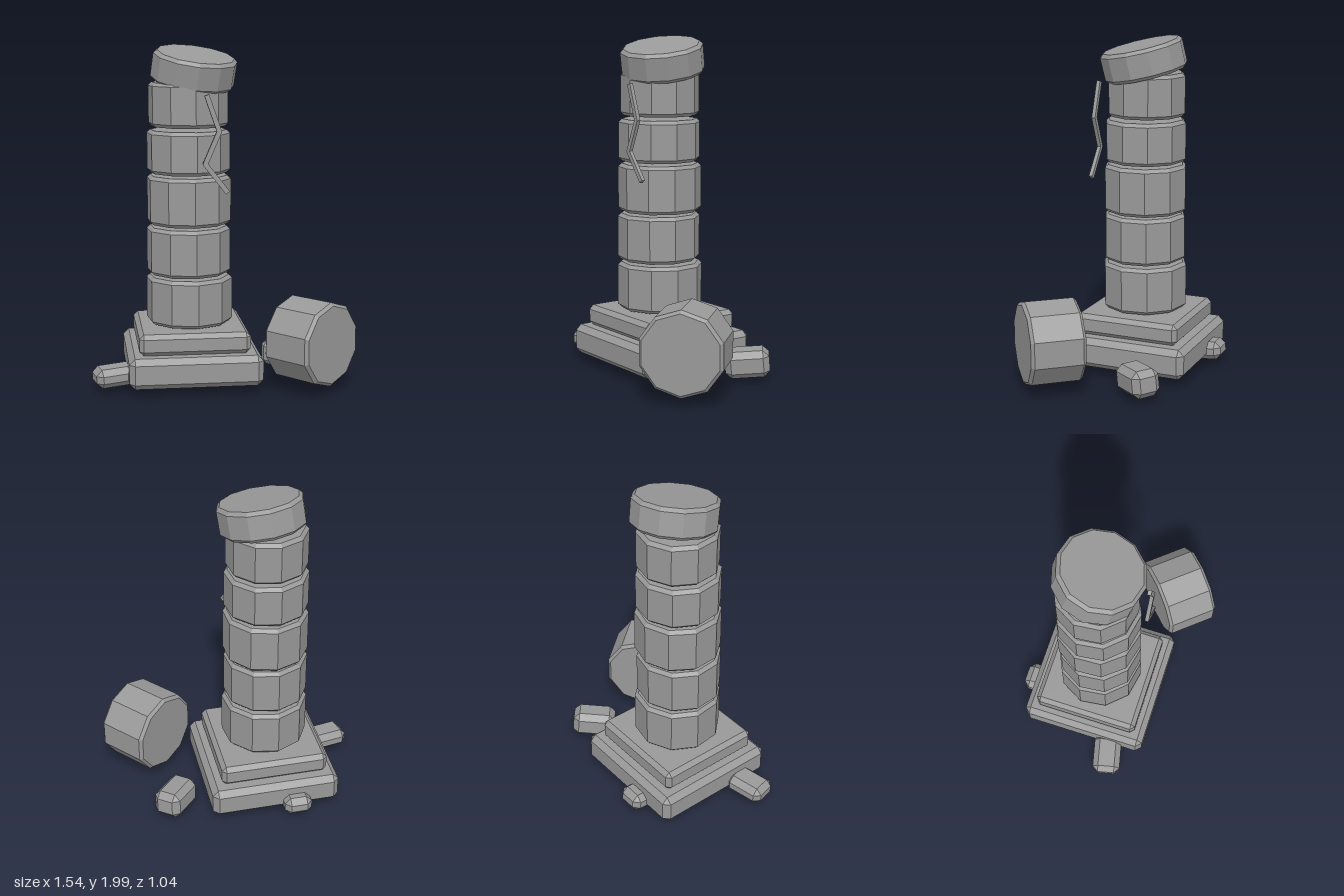
import * as THREE from 'three';
import { ConvexGeometry } from 'three/addons/geometries/ConvexGeometry.js';

const stone = new THREE.MeshStandardMaterial({ color: 0x999999 });
stone.name = 'grey stone';

// Box with chamfered edges and corners
function chamferBox(w, h, d, b) {
  const pts = [];
  for (const i of [-1, 1]) for (const j of [-1, 1]) for (const k of [-1, 1]) {
    const x = w / 2, y = h / 2, z = d / 2;
    pts.push(
      new THREE.Vector3(i * x, j * (y - b), k * (z - b)),
      new THREE.Vector3(i * (x - b), j * y, k * (z - b)),
      new THREE.Vector3(i * (x - b), j * (y - b), k * z));
  }
  return new ConvexGeometry(pts);
}

// Faceted stone drum with chamfered rims
function drum(r, h, sides, b = 0.018) {
  const profile = [[0, -h / 2], [r - b, -h / 2], [r, -h / 2 + b], [r, h / 2 - b], [r - b, h / 2], [0, h / 2]]
    .map(([x, y]) => new THREE.Vector2(x, y));
  const g = new THREE.LatheGeometry(profile, sides).toNonIndexed();
  g.computeVertexNormals();
  return g;
}

export function createModel() {
  const model = new THREE.Group();
  const add = (name, geo, pos, rot = [0, 0, 0], order = 'XYZ') => {
    const m = new THREE.Mesh(geo, stone);
    m.name = name;
    m.position.set(...pos);
    m.rotation.set(rot[0], rot[1], rot[2], order);
    model.add(m);
  };

  // Stepped plinth
  add('lowerPlinth', chamferBox(0.775, 0.18, 0.775, 0.034), [-0.19, 0.15, -0.063]);
  add('upperPlinth', chamferBox(0.645, 0.125, 0.645, 0.026), [-0.193, 0.303, -0.063]);

  // Column drums: radius, bottom, top, x, z, turn
  [
    [0.255, 0.375, 0.655, -0.197, -0.06, 0.12],
    [0.247, 0.67, 0.95, -0.202, -0.056, 0.1],
    [0.249, 0.965, 1.25, -0.198, -0.061, 0.05],
    [0.244, 1.265, 1.515, -0.2, -0.06, 0.12],
    [0.234, 1.535, 1.79, -0.2, -0.065, 0.1],
  ].forEach(([r, y0, y1, x, z, turn], i) =>
    add('columnDrum' + (i + 1), drum(r, y1 - y0, 10, 0.02), [x, (y0 + y1) / 2, z], [0, turn, 0]));

  // Tilted broken top
  add('tiltedCap', drum(0.247, 0.175, 12, 0.02), [-0.166, 1.865, -0.06], [0.2, 0, -0.12]);

  // Fallen drum lying on its side
  add('fallenDrum', drum(0.2475, 0.318, 10, 0.018), [0.481, 0.307, 0.251], [Math.PI / 2, 0.703, 0], 'YXZ');

  // Zigzag crack strip on the front
  const crack = [[-0.12, 1.725], [-0.05, 1.525], [-0.13, 1.34], [-0.005, 1.18]];
  for (let i = 0; i < 3; i++) {
    const [x0, y0] = crack[i], [x1, y1] = crack[i + 1];
    const dx = x1 - x0, dy = y1 - y0;
    add('crack' + (i + 1), new THREE.BoxGeometry(0.028, Math.hypot(dx, dy) + 0.01, 0.022),
      [(x0 + x1) / 2, (y0 + y1) / 2, 0.205], [0, 0, Math.atan2(-dx, dy)]);
  }

  // Rubble around the base
  add('rubbleSide', chamferBox(0.24, 0.11, 0.17, 0.034), [-0.655, 0.105, 0.13], [0, 0.23, 0.05]);
  add('rubbleBack', chamferBox(0.165, 0.11, 0.17, 0.034), [-0.31, 0.105, -0.445], [0.08, 0, 0]);
  add('rubbleCorner', chamferBox(0.26, 0.16, 0.17, 0.036), [0.395, 0.12, -0.26], [0.06, 0.876, 0.08], 'YXZ');
  add('rubbleUnder', chamferBox(0.27, 0.15, 0.23, 0.036), [-0.35, 0.115, -0.24], [0.12, 0.4, 0.22], 'YXZ');
  return model;
}
